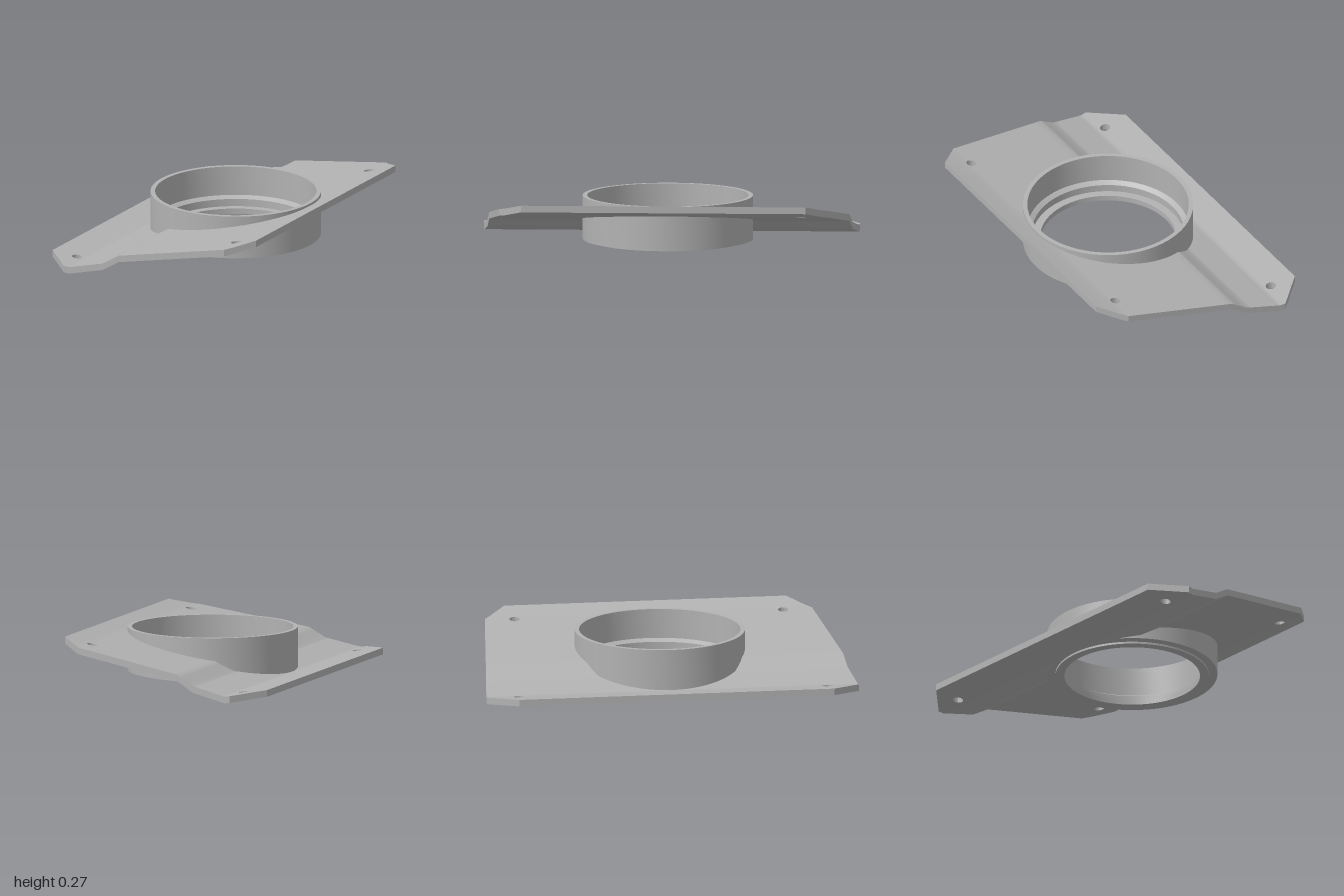
import * as THREE from 'three';
import { toCreasedNormals } from 'three/addons/utils/BufferGeometryUtils.js';

const THICK = 0.036;
// underside height of the bent plate, and half depth of its outline, along x
const BEND = [[-0.595, 0.027], [-0.52, 0.017], [-0.44, 0.006], [-0.41, 0.002], [-0.22, 0.045],
  [-0.13, 0.099], [0.47, 0.203], [0.5, 0.21], [0.592, 0.239]];
const OUTLINE = [[-0.595, 0.845], [-0.44, 0.999], [0.465, 0.877], [0.592, 0.755]];
const RING = { x: 0.045, r: 0.44 };
const BOLTS = [{ x: -0.455, z: 0.828, r: 0.027 }, { x: 0.45, z: 0.72, r: 0.027 }];

function along(table, x) {
  let i = 1;
  while (i < table.length - 1 && x > table[i][0]) i++;
  const [x0, v0] = table[i - 1], [x1, v1] = table[i];
  return v0 + (v1 - v0) * (x - x0) / (x1 - x0);
}
const chord = (c, x) => Math.sqrt(Math.max(0, c.r * c.r - (x - c.x) ** 2));

// Bent plate swept in columns along x, with the round openings left out
function plateGeometry() {
  const xs = [...BEND, ...OUTLINE].map(p => p[0]);
  const sample = (c, n) => {
    for (let i = 0; i <= n; i++) xs.push(c.x - c.r * Math.cos(Math.PI * i / n));
  };
  sample(RING, 40);
  BOLTS.forEach(b => sample(b, 12));
  xs.sort((a, b) => a - b);
  const cols = xs.filter((x, i) => i === 0 || x - xs[i - 1] > 1e-5).map(x => {
    const bolt = BOLTS[x < 0 ? 0 : 1], h = chord(bolt, x);
    return { x, y: along(BEND, x), z: [chord(RING, x), bolt.z - h, bolt.z + h, along(OUTLINE, x)] };
  });

  const pos = [];
  const tri = (a, b, c) => {
    const area = new THREE.Triangle(new THREE.Vector3(...a), new THREE.Vector3(...b), new THREE.Vector3(...c)).getArea();
    if (area > 1e-9) pos.push(...a, ...b, ...c);
  };
  const quad = (a, b, c, d, flip) => {
    if (flip) [b, d] = [d, b];
    tri(a, b, c);
    tri(a, c, d);
  };
  for (let i = 1; i < cols.length; i++) {
    const p = cols[i - 1], q = cols[i];
    for (const s of [1, -1]) {
      const at = (c, k, up) => [c.x, c.y + up * THICK, s * c.z[k]];
      // top and underside
      for (const k of [0, 2]) {
        for (const up of [0, 1]) {
          quad(at(p, k, up), at(p, k + 1, up), at(q, k + 1, up), at(q, k, up), (s < 0) !== (up === 0));
        }
      }
      // bolt hole walls and outer edge
      for (const k of [1, 2, 3]) {
        if (k < 3 && p.z[1] === p.z[2] && q.z[1] === q.z[2]) continue;
        quad(at(p, k, 0), at(q, k, 0), at(q, k, 1), at(p, k, 1), (s < 0) !== (k === 2));
      }
    }
  }
  // straight side edges
  for (const c of [cols[0], cols[cols.length - 1]]) {
    const z = c.z[3], t = c.y + THICK;
    quad([c.x, c.y, -z], [c.x, c.y, z], [c.x, t, z], [c.x, t, -z], c.x > 0);
  }
  const g = new THREE.BufferGeometry();
  g.setAttribute('position', new THREE.Float32BufferAttribute(pos, 3));
  return toCreasedNormals(g, Math.PI / 5);
}

// Stepped collar: outer wall, wide bore, narrower step and bottom lip
function collarGeometry() {
  const profile = [[0.36, 0.015], [0.407, 0.015], [0.407, 0.026], [0.452, 0.026], [0.452, 0.258],
    [0.428, 0.258], [0.428, 0.1], [0.402, 0.085], [0.402, 0.045], [0.36, 0.045], [0.36, 0.015]];
  const g = new THREE.LatheGeometry(profile.map(p => new THREE.Vector2(...p)), 96);
  return toCreasedNormals(g, Math.PI / 7);
}

export function createModel() {
  const grey = new THREE.MeshStandardMaterial({ color: 0xb2b2b2 });
  grey.name = 'grey';
  const group = new THREE.Group();
  group.name = 'collarPlate';

  const plate = new THREE.Mesh(plateGeometry(), grey);
  plate.name = 'bentMountingPlate';
  const collar = new THREE.Mesh(collarGeometry(), grey);
  collar.name = 'steppedCollar';
  collar.position.x = RING.x;
  group.add(plate, collar);
  return group;
}
